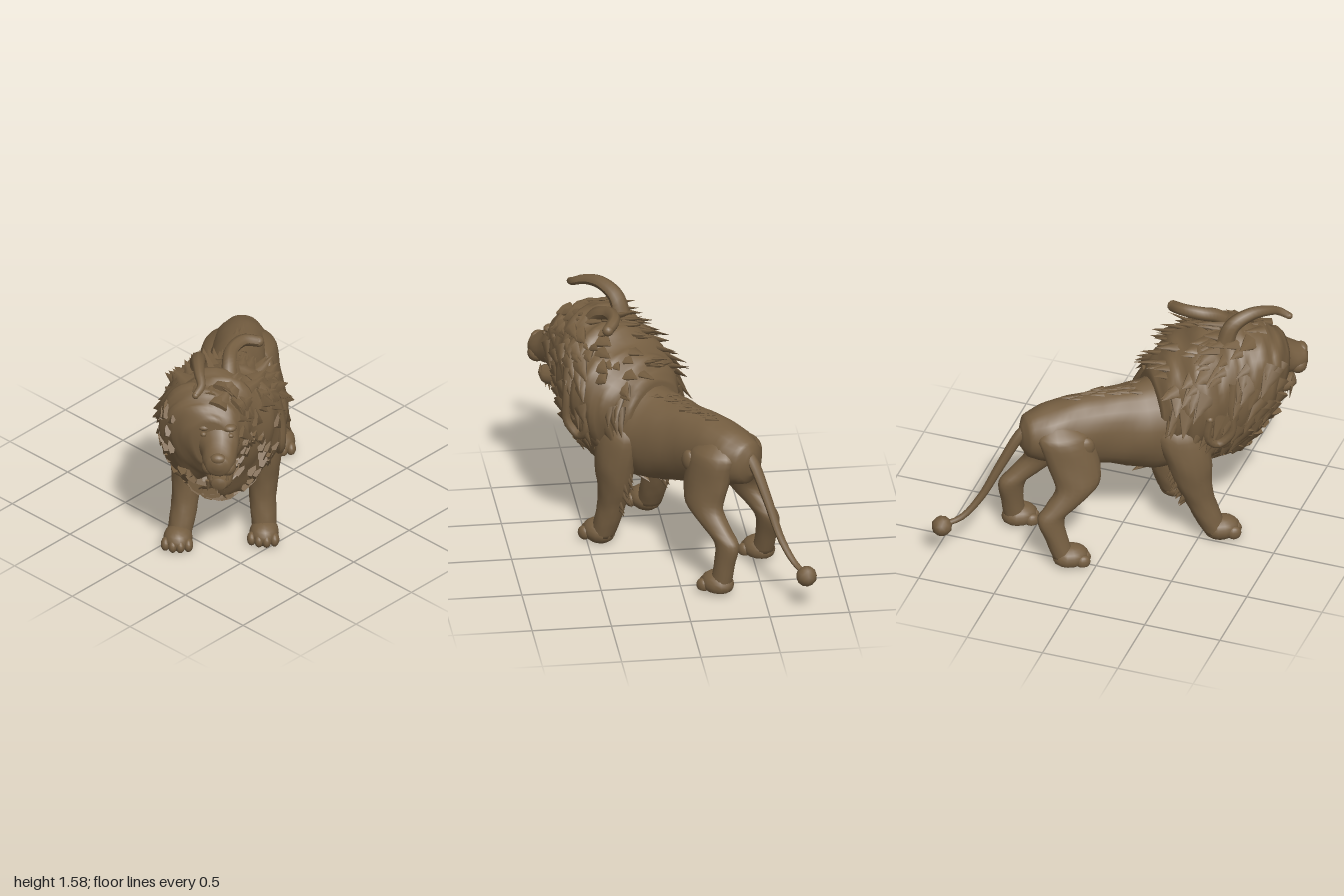
import * as THREE from 'three';
import { mergeGeometries } from 'three/addons/utils/BufferGeometryUtils.js';

const V = (x, y, z) => new THREE.Vector3(x, y, z);

// Small seeded random generator
let seed = 7;
const rnd = () => (seed = (seed * 16807) % 2147483647) / 2147483647;

// Smooth interpolator through sections [x, y, z, radiusX, radiusOther]
function sampler(sections) {
  const path = new THREE.CatmullRomCurve3(sections.map(s => V(s[0], s[1], s[2])));
  const radii = new THREE.CatmullRomCurve3(sections.map(s => V(s[3], s[4], 0)));
  return t => ({ c: path.getPoint(t), r: radii.getPoint(t) });
}

// Closed body through elliptical rings: axis 'z' runs back to front, axis 'y' runs top to bottom;
// egg widens the upper half of each ring and narrows the lower half
function loft(sections, axis, rings = 24, sides = 20, lump = 0, egg = 0) {
  const at = sampler(sections), pos = [], index = [];
  for (let i = 0; i <= rings; i++) {
    const { c, r } = at(i / rings);
    for (let j = 0; j < sides; j++) {
      const a = (j / sides) * Math.PI * 2;
      const k = 1 + lump * (Math.sin(5 * a + i * 0.9) * 0.6 + Math.sin(3 * a - i * 1.7) * 0.5);
      const u = Math.cos(a) * r.x * k * (1 + egg * Math.sin(a)), v = Math.sin(a) * r.y * k;
      pos.push(c.x + u, c.y + (axis === 'z' ? v : 0), c.z + (axis === 'z' ? 0 : v));
      if (i < rings) {
        const p = i * sides + j, q = i * sides + (j + 1) % sides;
        index.push(p, q, p + sides, q, q + sides, p + sides);
      }
    }
  }
  // End caps
  const first = at(0).c, last = at(1).c, n = (rings + 1) * sides;
  pos.push(first.x, first.y, first.z, last.x, last.y, last.z);
  for (let j = 0; j < sides; j++) {
    const k = (j + 1) % sides, o = rings * sides;
    index.push(n, k, j, n + 1, o + j, o + k);
  }
  const g = new THREE.BufferGeometry();
  g.setAttribute('position', new THREE.Float32BufferAttribute(pos, 3));
  g.setIndex(index);
  g.computeVertexNormals();
  return g;
}

// Flattened lock of fur from point p along dir, lying against the surface normal n
function lock(p, dir, n, length, width) {
  const y = dir.clone().normalize();
  const x = y.clone().cross(n).normalize();
  const z = x.clone().cross(y);
  const g = new THREE.ConeGeometry(1, 1, 6, 2).translate(0, 0.3, 0);
  const m = new THREE.Matrix4().makeBasis(
    x.multiplyScalar(width), y.multiplyScalar(length), z.multiplyScalar(width * 0.4));
  return g.applyMatrix4(m.setPosition(p));
}

// Tapered tube with a rounded tip
function horn(points, r0, r1) {
  const curve = new THREE.CatmullRomCurve3(points.map(p => V(...p)));
  const N = 20, S = 8, g = new THREE.TubeGeometry(curve, N, 1, S);
  const pos = g.attributes.position;
  for (let i = 0; i < pos.count; i++) {
    const t = Math.floor(i / (S + 1)) / N, c = curve.getPointAt(t);
    const v = V(0, 0, 0).fromBufferAttribute(pos, i).sub(c).multiplyScalar(r0 + (r1 - r0) * t).add(c);
    pos.setXYZ(i, v.x, v.y, v.z);
  }
  g.computeVertexNormals();
  return mergeGeometries([g, ball(...points[points.length - 1], r1, r1, r1)]);
}

const ball = (x, y, z, a, b, c) =>
  new THREE.SphereGeometry(1, 14, 10).scale(a, b, c).translate(x, y, z);

export function createModel() {
  const model = new THREE.Group();
  const beast = new THREE.Group();
  beast.name = 'lion';
  model.add(beast);
  const brown = new THREE.MeshStandardMaterial({ color: 0x755e41, side: THREE.DoubleSide });
  brown.name = 'brown';
  const add = (name, g) => {
    const m = new THREE.Mesh(g, brown);
    m.name = name;
    beast.add(m);
  };

  // Torso
  add('torso', loft([
    [0, 0.83, -0.69, 0.04, 0.07], [0, 0.83, -0.65, 0.12, 0.14], [0, 0.83, -0.53, 0.175, 0.185],
    [0, 0.825, -0.35, 0.18, 0.22], [0, 0.79, -0.12, 0.19, 0.26], [0, 0.76, 0.1, 0.235, 0.295],
    [0, 0.77, 0.3, 0.27, 0.32], [0, 0.8, 0.5, 0.24, 0.3], [0, 0.85, 0.65, 0.12, 0.15],
  ], 'z', 32, 24, 0.02));

  // Mane volume
  const maneEgg = 0.2;
  const maneSections = [
    [0, 0.86, 0.17, 0.2, 0.23], [0, 0.87, 0.25, 0.29, 0.33], [0.015, 0.895, 0.38, 0.355, 0.405],
    [0, 0.92, 0.54, 0.37, 0.465], [-0.03, 0.955, 0.69, 0.35, 0.475], [-0.08, 1.03, 0.84, 0.29, 0.375],
    [-0.065, 1.08, 0.95, 0.22, 0.27], [-0.03, 1.1, 1.04, 0.12, 0.16],
  ];
  add('mane', loft(maneSections, 'z', 36, 40, 0.045, maneEgg));

  // Broad locks covering the mane, swept back and down
  const maneAt = sampler(maneSections), locks = [];
  for (let i = 0; i < 260; i++) {
    const { c, r } = maneAt(0.1 + 0.74 * rnd()), a = rnd() * Math.PI * 2;
    const ca = Math.cos(a), sa = Math.sin(a);
    const p = V(c.x + ca * r.x * (1 + maneEgg * sa) * 0.98, c.y + sa * r.y * 0.98, c.z);
    const n = V(ca / r.x, sa / r.y, 0).normalize();
    const dir = V(0, -0.75 - 0.3 * rnd(), -0.3 - 0.4 * rnd());
    if (sa > 0.6) dir.y += 0.6;
    dir.addScaledVector(n, -dir.dot(n) + 0.08 + 0.2 * rnd());
    locks.push(lock(p, dir, n, 0.11 + 0.09 * rnd(), 0.04 + 0.035 * rnd()));
  }
  add('maneLocks', mergeGeometries(locks));

  // Curled locks lying on the sides of the mane
  for (const s of [-1, 1]) {
    add('curledLock', horn([[s * 0.33, 1.18, 0.6], [s * 0.36, 1.0, 0.58], [s * 0.36, 0.82, 0.58],
      [s * 0.34, 0.74, 0.5], [s * 0.35, 0.8, 0.43], [s * 0.36, 0.95, 0.44]], 0.035, 0.025));
  }

  // Head: muzzle, jaw, nose, brows and eyes
  add('muzzle', loft([
    [-0.05, 1.12, 0.84, 0.2, 0.22], [-0.01, 1.12, 0.98, 0.155, 0.17], [0.02, 1.065, 1.06, 0.115, 0.125],
    [0.025, 1.035, 1.14, 0.1, 0.095], [0.025, 1.035, 1.19, 0.075, 0.07], [0.025, 1.04, 1.21, 0.02, 0.02],
  ], 'z', 20, 18, 0.015));
  add('jaw', loft([
    [-0.04, 0.93, 0.85, 0.11, 0.1], [0.01, 0.87, 0.98, 0.09, 0.065],
    [0.025, 0.85, 1.07, 0.075, 0.055], [0.025, 0.86, 1.125, 0.045, 0.04],
  ], 'z', 14, 14));
  add('nose', ball(0.025, 1.085, 1.175, 0.05, 0.035, 0.035));
  const beard = [];
  for (let i = 0; i < 9; i++) {
    beard.push(lock(V(0.02 + (i - 4) * 0.016, 0.84, 1.08 - (i % 3) * 0.05), V((i - 4) * 0.03, -1, -0.15),
      V(0, 0, 1), 0.09, 0.025));
  }
  add('beard', mergeGeometries(beard));
  for (const s of [-1, 1]) {
    add('brow', ball(s * 0.08, 1.215, 1.01, 0.045, 0.025, 0.04));
    add('eye', ball(s * 0.085 + 0.005, 1.175, 1.04, 0.02, 0.016, 0.018));
    add('cheek', ball(s * 0.055 + 0.025, 1.0, 1.13, 0.055, 0.055, 0.06));
    add('fang', new THREE.ConeGeometry(0.013, 0.06, 6).translate(s * 0.05 + 0.025, 0.91, 1.1));
  }

  // Horns: the right one arches forward, the left one sweeps back
  add('rightHorn', horn([[-0.15, 1.36, 0.61], [-0.15, 1.48, 0.66], [-0.14, 1.535, 0.78],
    [-0.12, 1.525, 0.9], [-0.1, 1.49, 0.98], [-0.13, 1.46, 1.04]], 0.06, 0.022));
  add('leftHorn', horn([[0.05, 1.36, 0.7], [0.04, 1.44, 0.62], [0.045, 1.475, 0.52],
    [0.11, 1.485, 0.42], [0.2, 1.46, 0.385]], 0.05, 0.036));

  // Legs: the right pair is striding further forward
  const frontLeg = [
    [0.15, 0.92, 0.3, 0.06, 0.08], [0.19, 0.78, 0.29, 0.12, 0.17], [0.225, 0.58, 0.3, 0.11, 0.145],
    [0.225, 0.42, 0.305, 0.095, 0.118], [0.222, 0.28, 0.33, 0.085, 0.095],
    [0.23, 0.16, 0.36, 0.082, 0.088], [0.24, 0.05, 0.39, 0.075, 0.075],
  ];
  const rearLeg = [
    [0.08, 0.96, -0.47, 0.04, 0.07], [0.125, 0.86, -0.46, 0.105, 0.17], [0.16, 0.68, -0.44, 0.1, 0.17],
    [0.195, 0.54, -0.455, 0.09, 0.14], [0.21, 0.43, -0.575, 0.072, 0.11],
    [0.215, 0.35, -0.67, 0.064, 0.09], [0.23, 0.2, -0.665, 0.06, 0.072], [0.24, 0.06, -0.645, 0.065, 0.07],
  ];
  const fur = [];
  for (const s of [1, -1]) {
    for (const [name, leg, stride, pawZ] of [['front', frontLeg, 0.115, 0.425], ['rear', rearLeg, 0.16, -0.615]]) {
      const shift = y => (s < 0 ? 1 - y / 0.95 : 0);
      const placed = leg.map(([x, y, z, a, b]) => [s * x - 0.05 * shift(y), y, z + stride * shift(y), a, b]);
      add(name + 'Leg', loft(placed, 'y', 28, 16, 0.02));

      // Paw with four toes, flat underneath
      const px = s * 0.24 - 0.05 * shift(0), pz = pawZ + stride * shift(0);
      const parts = [ball(px, 0.065, pz, 0.092, 0.08, 0.115)];
      for (let k = 0; k < 4; k++) {
        const o = (k - 1.5) * 0.048;
        parts.push(ball(px + o, 0.05, pz + 0.09 - Math.abs(o) * 0.4, 0.03, 0.045, 0.045));
      }
      const paw = mergeGeometries(parts), pos = paw.attributes.position;
      for (let i = 0; i < pos.count; i++) pos.setY(i, Math.max(pos.getY(i), name === 'rear' ? 0.025 : 0));
      add(name + 'Paw', paw);

      // Fringe behind the front legs
      if (name === 'front') {
        for (let i = 0; i < 10; i++) {
          const { c, r } = sampler(placed)(0.38 + 0.28 * i / 9);
          fur.push(lock(V(c.x + (rnd() - 0.5) * 0.07, c.y, c.z - r.y * 0.9),
            V(0, -0.6, -0.5), V(1, 0, 0), 0.08, 0.03));
        }
      }
    }
    // Hip knob
    add('hipKnob', ball(s * 0.195, 0.8, -0.32, 0.035, 0.07, 0.055));
  }
  add('legFringe', mergeGeometries(fur));

  // Tufts along the spine and under the chest
  const tufts = [];
  for (let i = 0; i < 22; i++) {
    const z = 0.2 - i * 0.026;
    tufts.push(lock(V((rnd() - 0.5) * 0.1, 1.04, z), V(0, 0.2, -1), V(0, 1, 0), 0.1, 0.035));
    if (i < 14) {
      tufts.push(lock(V((rnd() - 0.5) * 0.2, 0.475, 0.1 + i * 0.035), V(0, -0.35, -0.8), V(0, -1, 0), 0.1, 0.04));
    }
  }
  add('bodyTufts', mergeGeometries(tufts));

  // Tail with a round tuft
  add('tail', horn([[0, 0.93, -0.58], [0, 0.86, -0.68], [0.005, 0.64, -0.82], [0.015, 0.42, -0.945],
    [0.02, 0.29, -1.07], [0.035, 0.245, -1.2]], 0.04, 0.016));
  add('tailTuft', new THREE.IcosahedronGeometry(0.066, 1).translate(0.035, 0.24, -1.195));

  // The body stands diagonally
  beast.rotation.y = Math.atan2(-0.79, 0.62);
  beast.position.set(-0.022, 0, -0.028);
  return model;
}
